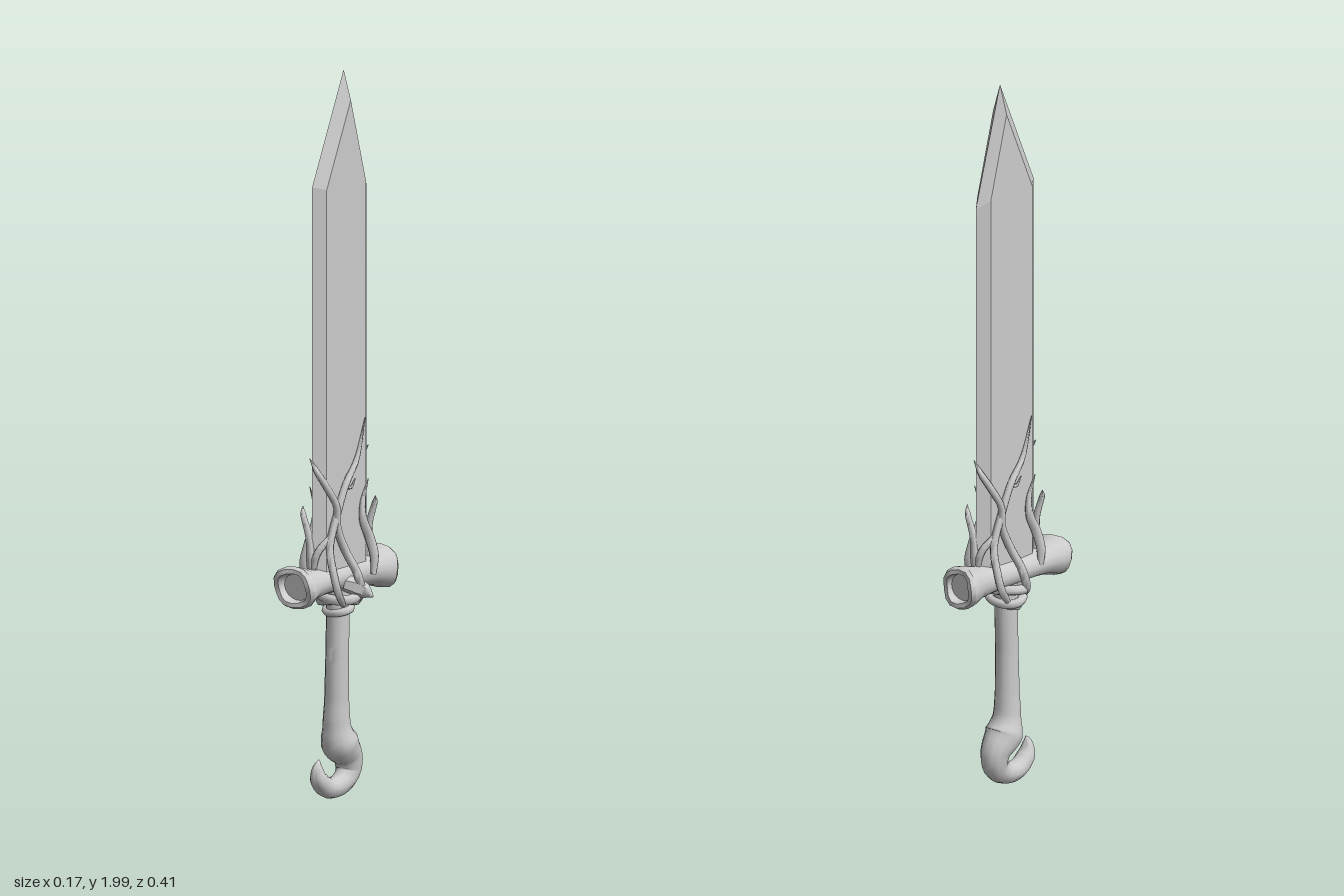
import * as THREE from 'three';
import { toCreasedNormals } from 'three/addons/utils/BufferGeometryUtils.js';

const material = new THREE.MeshStandardMaterial({ color: 0xcccccc, side: THREE.DoubleSide });

function mesh(name, geometry) {
  const m = new THREE.Mesh(geometry, material);
  m.name = name;
  return m;
}

// Tapered tube through stations [x, y, z, radius]
function limb(name, stations, steps = 24, sides = 8) {
  const curve = new THREE.CatmullRomCurve3(stations.map(([x, y, z]) => new THREE.Vector3(x, y, z)));
  const geo = new THREE.TubeGeometry(curve, steps, 1, sides);
  const pos = geo.attributes.position, v = new THREE.Vector3();
  for (let i = 0; i <= steps; i++) {
    const centre = curve.getPointAt(i / steps);
    const t = curve.getUtoTmapping(i / steps) * (stations.length - 1);
    const k = Math.min(Math.floor(t), stations.length - 2);
    const r = THREE.MathUtils.lerp(stations[k][3], stations[k + 1][3], t - k);
    for (let j = 0; j <= sides; j++) {
      const n = i * (sides + 1) + j;
      v.fromBufferAttribute(pos, n).sub(centre).multiplyScalar(r).add(centre);
      pos.setXYZ(n, v.x, v.y, v.z);
    }
  }
  geo.computeVertexNormals();
  return mesh(name, toCreasedNormals(geo, 1));
}

// Six-sided blade: bevelled edges, flat faces, pointed tip
function makeBlade() {
  const c = -0.006, L = -0.03, R = 0.019;
  const tip = [c, 2, -0.02], fr = [R, 1.92, -0.02], fl = [L, 1.92, -0.02];
  const section = (yFront, yBack, yFlat) => [
    [c, yFront, 0.113], [R, yFlat, 0.082], [R, yFlat, -0.083],
    [c, yBack, -0.116], [L, yFlat, -0.083], [L, yFlat, 0.082],
  ];
  const rings = [section(0.6, 0.6, 0.6), section(1.7, 1.67, 1.69), [tip, fr, fr, tip, fl, fl]];
  const index = [];
  for (let r = 0; r < 2; r++) {
    for (let i = 0; i < 6; i++) {
      const a = r * 6 + i, b = r * 6 + (i + 1) % 6;
      index.push(a, b, b + 6, a, b + 6, a + 6);
    }
  }
  const geo = new THREE.BufferGeometry();
  geo.setAttribute('position', new THREE.Float32BufferAttribute(rings.flat(2), 3));
  geo.setIndex(index);
  const flat = geo.toNonIndexed();
  flat.computeVertexNormals();
  return mesh('blade', flat);
}

// Hollow-ended crossguard with uneven, chipped rims
function makeGuard() {
  const half = [[0.044, 0.03], [0.046, 0.09], [0.051, 0.13], [0.064, 0.165], [0.068, 0.182],
    [0.061, 0.193], [0.047, 0.193], [0.042, 0.172], [0, 0.172]];
  const profile = [...half.map(([r, z]) => [r, -z]).reverse(), ...half];
  const geo = new THREE.LatheGeometry(profile.map(([r, z]) => new THREE.Vector2(r, z)), 16);
  geo.rotateX(Math.PI / 2);
  const pos = geo.attributes.position;
  for (let i = 0; i < pos.count; i++) {
    const x = pos.getX(i), y = pos.getY(i), z = pos.getZ(i);
    const r = Math.hypot(x, y), a = Math.atan2(y, x);
    if (Math.abs(z) > 0.175 && r > 0.01) {
      pos.setZ(i, z + Math.sign(z) * (0.006 * Math.sin(3 * a + z * 5) - x * 0.08));
    }
    const lump = 1 + 0.05 * Math.sin(2 * a + z * 14);
    pos.setXY(i, x * lump, y * lump * 0.87);
  }
  const guard = mesh('crossguard', toCreasedNormals(geo, 0.8));
  guard.position.set(-0.01, 0.612, 0);
  return guard;
}

// Vines climbing one face of the blade
function makeVines() {
  const g = new THREE.Group();
  const add = (name, stations) => g.add(limb(name, stations, 28, 7));
  add('tallVine', [[0.024, 1.04, -0.074, 0.001], [0.026, 0.93, -0.035, 0.008], [0.03, 0.876, 0.013, 0.01],
    [0.03, 0.8, 0.05, 0.011], [0.034, 0.71, 0.087, 0.011], [0.055, 0.64, 0.095, 0.011],
    [0.062, 0.59, 0.085, 0.011], [0.045, 0.55, 0.045, 0.009], [0.02, 0.54, 0.02, 0.004]]);
  add('crossingVine', [[-0.012, 0.955, 0.116, 0.001], [0.012, 0.92, 0.113, 0.009], [0.028, 0.875, 0.09, 0.01],
    [0.036, 0.82, 0.06, 0.01], [0.03, 0.76, 0.05, 0.011], [0.037, 0.69, 0.022, 0.012],
    [0.058, 0.63, 0, 0.012], [0.055, 0.575, -0.02, 0.012], [0.03, 0.54, -0.035, 0.006]]);
  add('curledVine', [[0.022, 0.87, -0.09, 0.001], [0.027, 0.81, -0.06, 0.008], [0.028, 0.76, -0.062, 0.012],
    [0.03, 0.71, -0.085, 0.014], [0.038, 0.66, -0.095, 0.013], [0.04, 0.61, -0.09, 0.008]]);
  add('edgeVine', [[0.03, 0.82, -0.11, 0.001], [0.022, 0.8, -0.118, 0.008], [0.005, 0.74, -0.115, 0.01],
    [0, 0.68, -0.115, 0.012], [0, 0.62, -0.11, 0.01]]);
  add('lowVine', [[0.024, 0.77, 0.04, 0.001], [0.028, 0.74, 0.075, 0.009], [0.01, 0.7, 0.108, 0.01],
    [-0.005, 0.65, 0.11, 0.01], [-0.005, 0.61, 0.1, 0.006]]);
  add('twig', [[0.028, 0.87, 0.015, 0.006], [0.027, 0.86, -0.01, 0.005], [0.026, 0.88, -0.03, 0.001]]);
  return g;
}

export function createModel() {
  const model = new THREE.Group();
  model.add(makeBlade(), makeGuard());

  // Grip flowing into a curled hook pommel
  model.add(limb('gripAndHook', [
    [-0.01, 0.6, 0, 0.033], [-0.01, 0.5, 0, 0.032], [-0.01, 0.38, 0.003, 0.032], [-0.012, 0.27, 0.002, 0.034],
    [-0.013, 0.2, 0, 0.039], [-0.013, 0.155, -0.012, 0.053], [-0.013, 0.11, -0.046, 0.041],
    [-0.012, 0.068, -0.045, 0.034], [-0.01, 0.04, -0.005, 0.03], [-0.01, 0.04, 0.045, 0.028],
    [-0.01, 0.07, 0.08, 0.025], [-0.01, 0.105, 0.085, 0.013], [-0.01, 0.123, 0.078, 0.001],
  ], 64, 12));

  // Vine rings binding the grip to the guard
  for (const [y, radius, tube, tiltX, tiltZ] of [
    [0.565, 0.054, 0.014, 0.15, -0.12], [0.545, 0.05, 0.013, -0.2, 0.16], [0.523, 0.037, 0.011, 0.22, 0.05],
  ]) {
    const ring = new THREE.TorusGeometry(radius, tube, 7, 20).rotateX(Math.PI / 2);
    const binding = mesh('gripBinding', ring.scale(1, 1, 0.85));
    binding.position.set(-0.01, y, -0.002);
    binding.rotation.set(tiltX, 0, tiltZ);
    model.add(binding);
  }

  // Vines on one face, then turned half round for the other
  const vines = makeVines();
  vines.name = 'leftVines';
  const opposite = vines.clone();
  opposite.name = 'rightVines';
  opposite.rotation.y = Math.PI;
  opposite.position.x = -0.011;
  model.add(vines, opposite);

  // Broken thorn beside the guard
  model.add(limb('thorn', [[0.02, 0.6, 0.01, 0.022], [0.045, 0.59, -0.012, 0.026],
    [0.066, 0.575, -0.028, 0.019], [0.085, 0.563, -0.034, 0.002]], 10, 6));
  return model;
}
